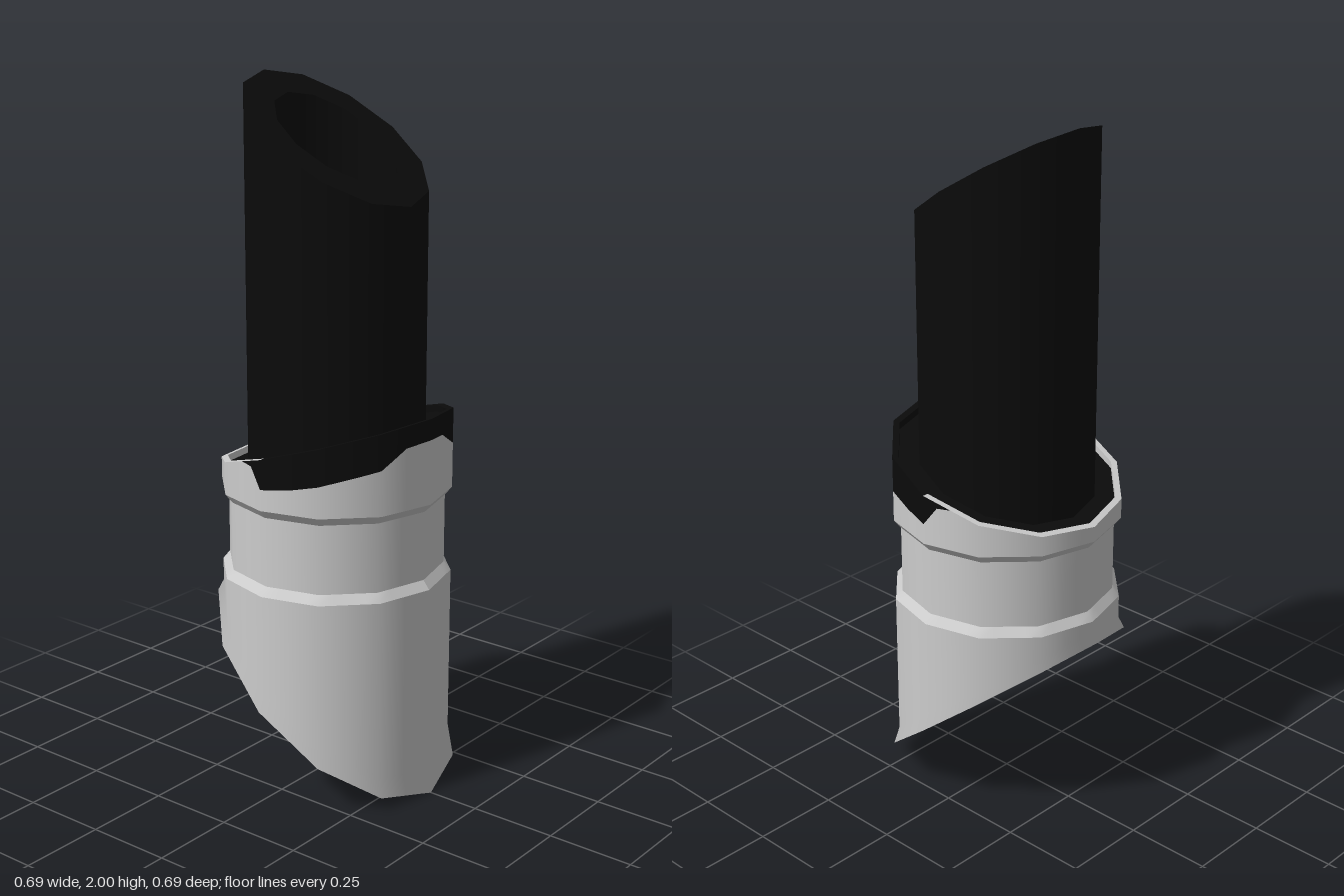
import * as THREE from 'three';

const SIDES = 12, SUB = 4, N = SIDES * SUB;

// Point on a 12-sided ring, with extra points along each flat side (index 0 faces front)
function ringPoint(i, r, yAt) {
  const a0 = Math.floor(i / SUB) * (2 * Math.PI / SIDES), a1 = a0 + 2 * Math.PI / SIDES, t = (i % SUB) / SUB;
  const x = r * THREE.MathUtils.lerp(Math.sin(a0), Math.sin(a1), t);
  const z = r * THREE.MathUtils.lerp(Math.cos(a0), Math.cos(a1), t);
  return new THREE.Vector3(x, typeof yAt === 'function' ? yAt(z, i) : yAt, z);
}

// Surface through stacked rings [radius, height or height rule]; listed bottom to top it faces outward
function loft(rings, { round = 1, from = 0, to = N } = {}) {
  const pos = [], nor = [], idx = [], w = to - from + 1;
  rings.forEach(([r, yAt]) => {
    for (let i = from; i <= to; i++) {
      const j = (i + N) % N, a = j / N * Math.PI * 2;
      pos.push(...ringPoint(j, r, yAt).toArray());
      nor.push(round * Math.sin(a), 0, round * Math.cos(a));
    }
  });
  for (let k = 0; k < rings.length - 1; k++) {
    for (let i = 0; i < w - 1; i++) {
      const a = k * w + i, b = a + 1, c = a + w, d = c + 1;
      idx.push(a, b, d, a, d, c);
    }
  }
  const g = new THREE.BufferGeometry();
  g.setAttribute('position', new THREE.Float32BufferAttribute(pos, 3));
  g.setIndex(idx);
  if (round) g.setAttribute('normal', new THREE.Float32BufferAttribute(nor, 3));
  else g.computeVertexNormals();
  return g;
}

export function createModel() {
  const group = new THREE.Group();
  const grey = new THREE.MeshStandardMaterial({ color: 0xcccccc, side: THREE.DoubleSide });
  grey.name = 'pale grey';
  const black = new THREE.MeshStandardMaterial({ color: 0x0b0b0b, side: THREE.DoubleSide });
  black.name = 'soot black';
  const add = (name, geometry, material) => {
    const m = new THREE.Mesh(geometry, material);
    m.name = name;
    group.add(m);
  };

  // Slanted planes
  const bottomCut = z => 0.275 - 0.8 * z;
  const collarTop = z => 1.01 + 0.303 * z;
  const tubeTop = z => 1.84 - 0.64 * z;

  // Ragged lower edge of the soot: [degrees from front, height]
  const edge = [[0, 1.05], [18, 1.04], [26, 1.0], [40, 0.98], [60, 0.955], [75, 0.935], [90, 0.925], [98, 0.985], [105, 1.1], [180, 1.2]];
  const sootEdge = (z, i) => {
    const deg = Math.min(i, N - i) * 360 / N;
    const k = Math.max(1, edge.findIndex(e => e[0] >= deg));
    const [d0, y0] = edge[k - 1], [d1, y1] = edge[k];
    return Math.min(collarTop(z), y0 + (y1 - y0) * (deg - d0) / (d1 - d0));
  };

  // Sheath: obliquely cut lower sleeve with a flared rim, narrow waist, collar
  add('lowerSleeve', loft([[0.347, bottomCut], [0.33, z => bottomCut(z) + 0.045], [0.33, 0.615]]), grey);
  add('sleeveShoulder', loft([[0.33, 0.615], [0.31, 0.64]], { round: 0 }), grey);
  add('waist', loft([[0.31, 0.64], [0.31, 0.84]]), grey);
  add('collarChamfer', loft([[0.31, 0.84], [0.33, 0.865]], { round: 0 }), grey);
  add('collar', loft([[0.33, 0.865], [0.33, sootEdge]]), grey);
  add('collarSoot', loft([[0.33, sootEdge], [0.33, collarTop]], { from: -14, to: 14 }), black);

  // Collar lip and inner wall, sooty at the front and clean at the back
  const lip = [[0.33, collarTop], [0.312, collarTop]];
  const inner = [[0.312, collarTop], [0.312, z => collarTop(z) - 0.02]];
  const parts = [['front', -12, 12, black], ['back', 12, 36, grey]];
  parts.forEach(([name, from, to, mat]) => {
    add(name + 'Lip', loft(lip, { round: 0, from, to }), mat);
    add(name + 'InnerWall', loft(inner, { round: -1, from, to }), mat);
  });
  add('sootFill', loft([[0.312, z => collarTop(z) - 0.02], [0.25, z => collarTop(z) - 0.02]], { round: 0 }), black);

  // Thick tube with an oblique top and a pale floor in the bore
  add('tubeOuter', loft([[0.253, 0.87], [0.253, tubeTop]]), black);
  add('tubeRim', loft([[0.253, tubeTop], [0.168, tubeTop]], { round: 0 }), black);
  add('tubeBore', loft([[0.168, tubeTop], [0.168, 0.87]], { round: -1 }), black);
  add('boreFloor', loft([[0.31, 0.868], [0.001, 0.868]], { round: 0 }), grey);

  return group;
}
